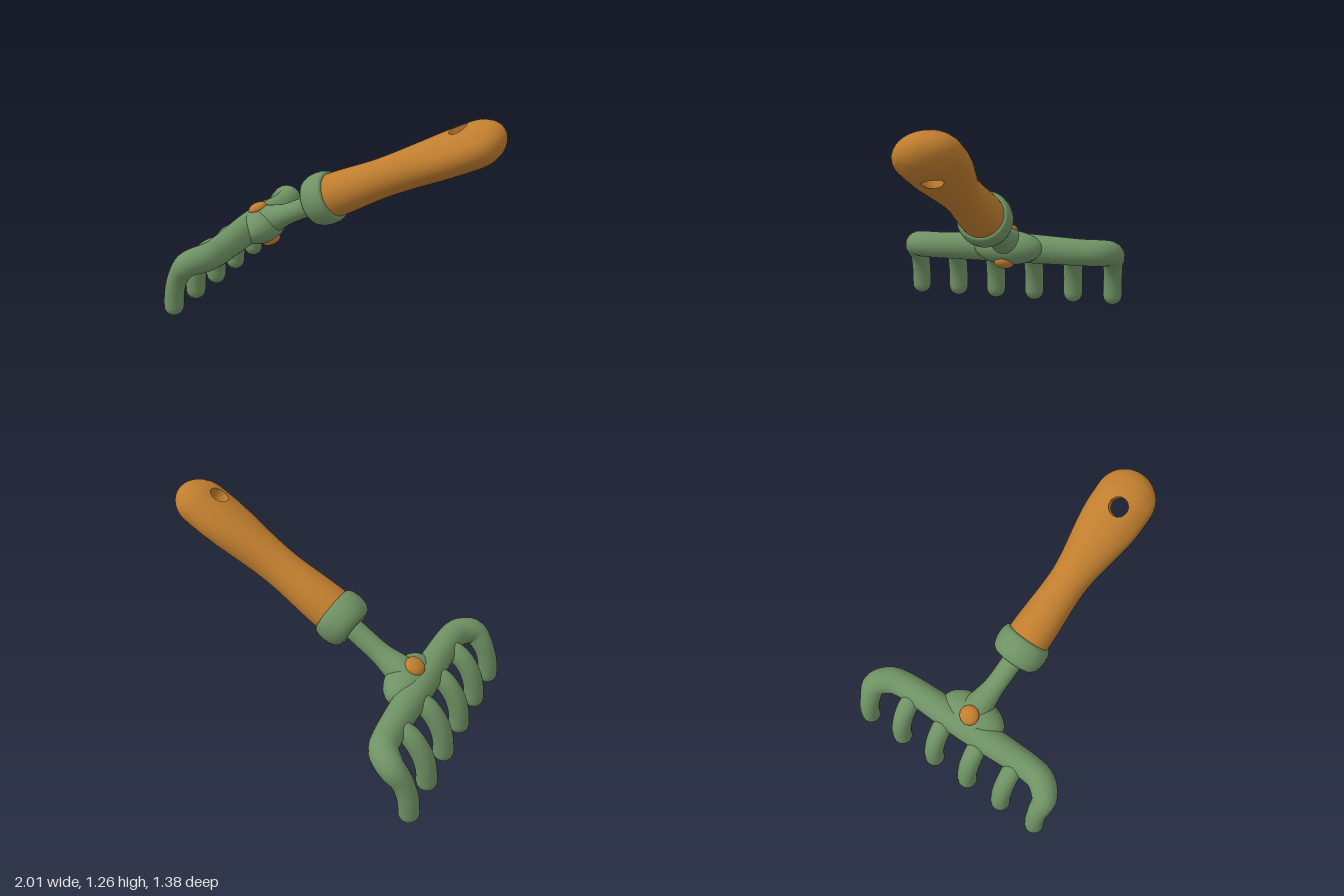
import * as THREE from 'three';

const V = (x, y, z) => new THREE.Vector3(x, y, z);
const green = new THREE.MeshStandardMaterial({ color: 0x6f9264 });
green.name = 'green metal';
const wood = new THREE.MeshStandardMaterial({ color: 0xbf7d2e });
wood.name = 'orange wood';

// Smooth surface over closed rings of points; skip(i, j) leaves a cell open
function skin(rings, skip = () => false) {
  const n = rings[0].length, idx = [];
  for (let i = 0; i < rings.length - 1; i++) for (let j = 0; j < n; j++) {
    if (skip(i, j)) continue;
    const k = (j + 1) % n, a = i * n + j, b = i * n + k;
    idx.push(a, b, a + n, b, b + n, a + n);
  }
  const g = new THREE.BufferGeometry().setFromPoints(rings.flat());
  g.setIndex(idx);
  g.computeVertexNormals();
  return g;
}

// Round bar along a path, radius by r(u), with domed ends
function rod(points, r, steps) {
  const curve = new THREE.CatmullRomCurve3(points, false, 'centripetal');
  const L = curve.getLength(), r0 = r(0), r1 = r(1), S = [];
  for (let k = 0; k < 7; k++) S.push([r0 * (1 - Math.cos(k * Math.PI / 12)), Math.sin(k * Math.PI / 12)]);
  for (let k = 1; k < steps; k++) S.push([r0 + (L - r0 - r1) * k / steps, 1]);
  for (let k = 6; k >= 0; k--) S.push([L - r1 * (1 - Math.cos(k * Math.PI / 12)), Math.sin(k * Math.PI / 12)]);
  let N = null;
  const rings = S.map(([s, f]) => {
    const u = s / L, p = curve.getPointAt(u), T = curve.getTangentAt(u);
    if (!N) N = Math.abs(T.y) > 0.9 ? V(1, 0, 0) : V(0, 1, 0);
    N = N.clone().addScaledVector(T, -N.dot(T)).normalize();
    const B = T.clone().cross(N), q = r(u) * f;
    return Array.from({ length: 20 }, (_, j) => {
      const a = j * Math.PI / 10;
      return p.clone().addScaledVector(N, q * Math.cos(a)).addScaledVector(B, q * Math.sin(a));
    });
  });
  return skin(rings);
}

function add(parent, name, geometry, material) {
  const m = new THREE.Mesh(geometry, material);
  m.name = name;
  parent.add(m);
  return m;
}

// Half sizes of the handle section at distance t along it
function section(t) {
  const keys = [[0.07, 0.13, 0.13], [0.45, 0.112, 0.113], [0.95, 0.121, 0.175]];
  const [a, b] = t < 0.45 ? [keys[0], keys[1]] : [keys[1], keys[2]];
  const s = THREE.MathUtils.smoothstep(t, a[0], b[0]);
  const cap = t > 1.03 ? Math.sqrt(Math.max(0, 1 - ((t - 1.03) / 0.17) ** 2)) : 1;
  return { thin: (a[1] + (b[1] - a[1]) * s) * cap, wide: (a[2] + (b[2] - a[2]) * s) * cap };
}

function handle(parent) {
  const n = 48, holeT = 0.98, holeR = 0.055, inner = 3, outer = 8, ts = [];
  for (let k = 0; k <= 53; k++) ts.push(0.08 + k * 0.02);
  ts.push(1.158, 1.173, 1.185, 1.193, 1.198, 1.2);
  const height = (t, v) => {
    const { thin, wide } = section(t);
    return thin * Math.sqrt(Math.max(0, 1 - (v / wide) ** 2));
  };
  // Signed steps from the hole centre, on the upper or lower face
  const offset = j => ((j + 12) % 24) - 12;
  const rings = ts.map((t0, i) => Array.from({ length: n }, (_, j) => {
    const a = j * 2 * Math.PI / n, { thin, wide } = section(t0);
    const v0 = wide * Math.sin(a), di = i - 45, dj = offset(j);
    const m = Math.max(Math.abs(di), Math.abs(dj));
    if (m >= outer || m < inner) return V(v0, t0, thin * Math.cos(a));
    // Grid lines near the hole bend into circles
    const len = Math.hypot(v0, t0 - holeT), w = (m - inner) / (outer - inner);
    const k = (holeR / len) * (1 - w) + w;
    const v = v0 * k, t = holeT + (t0 - holeT) * k;
    return V(v, t, Math.sign(Math.cos(a)) * height(t, v));
  }));
  const inHole = (i, j) => {
    const c = ((j + 0.5 + 12) % 24) - 12;
    return Math.abs(i + 0.5 - 45) < inner && Math.abs(c) < inner;
  };
  add(parent, 'handle', skin(rings, inHole), wood);
  const wall = [1, -1].map(s => Array.from({ length: 48 }, (_, j) => {
    const a = j * Math.PI / 24, v = holeR * Math.cos(a), t = holeT + holeR * Math.sin(a);
    return V(v, t, s * height(t, v));
  }));
  add(parent, 'hangingHole', skin(wall), wood);
}

export function createModel() {
  const root = new THREE.Group();
  root.name = 'handRake';

  // Handle axis frame: Y along the handle, Z out of its flat face
  const d = V(1, 0.552, -0.387).normalize();
  const up = V(0, 1, 0).addScaledVector(d, -d.y).normalize();
  const frame = (name, pos, roll) => {
    const g = new THREE.Group(), z = up.clone().applyAxisAngle(d, roll);
    g.name = name;
    g.setRotationFromMatrix(new THREE.Matrix4().makeBasis(d.clone().cross(z), d, z));
    g.position.copy(pos);
    root.add(g);
    return g;
  };

  // Handle and collar
  const grip = frame('grip', V(-0.02, 0.655, -0.188), 0.2);
  handle(grip);
  const collar = [[0, -0.09], [0.1, -0.09], [0.125, -0.083], [0.145, -0.065], [0.157, -0.03], [0.16, 0.01],
    [0.157, 0.045], [0.148, 0.07], [0.137, 0.08], [0, 0.08]].map(p => new THREE.Vector2(...p));
  add(grip, 'collar', new THREE.LatheGeometry(collar, 40), green);

  // Crossbar running into the two end tines
  const A = V(-0.22, 0, 0.55), B = V(-0.77, 0, -0.565);
  const along = A.clone().sub(B).normalize(), out = V(-along.z, 0, along.x);
  const at = (base, u, y, s = 0) => base.clone().addScaledVector(out, u).addScaledVector(along, s).setY(y);
  const tine = [[0.2, 0.004], [0.2, 0.07], [0.19, 0.17], [0.155, 0.27], [0.09, 0.35]];
  const mid = A.clone().lerp(B, 0.5);
  const path = [
    ...tine.map(([u, y]) => at(A, u, y)), at(A, 0.02, 0.372, -0.07), at(A, 0, 0.375, -0.15),
    at(mid, 0, 0.384),
    at(B, 0, 0.375, 0.15), at(B, 0.02, 0.372, 0.07), ...tine.map(([u, y]) => at(B, u, y)).reverse(),
  ];
  const barRadius = u => {
    const e = Math.min(u, 1 - u);
    return 0.059 + 0.023 * THREE.MathUtils.smoothstep(e, 0.1, 0.23) + 0.01 * THREE.MathUtils.smoothstep(e, 0.25, 0.5);
  };
  add(root, 'crossbar', rod(path, barRadius, 90), green);

  // Inner tines
  for (let k = 1; k < 5; k++) {
    const base = A.clone().lerp(B, k / 5);
    const pts = [...tine.map(([u, y]) => at(base, u, y)), at(base, 0, 0.38)];
    add(root, 'tine' + k, rod(pts, () => 0.06, 24), green);
  }

  // Neck and hub
  const neck = [V(-0.52, 0.385, -0.02), V(-0.36, 0.455, -0.07), V(-0.2, 0.54, -0.122), V(-0.04, 0.64, -0.18)];
  add(root, 'neck', rod(neck, u => 0.062 + 0.035 * (1 - THREE.MathUtils.smoothstep(u, 0.15, 0.6)), 24), green);
  const hub = add(root, 'hub', new THREE.SphereGeometry(1, 36, 24), green);
  hub.position.set(-0.43, 0.4, -0.045);
  hub.scale.set(0.125, 0.105, 0.21);
  hub.rotation.y = Math.atan2(along.x, along.z);

  // Rivet heads above and below the hub
  const rivets = frame('rivets', V(-0.415, 0.41, -0.04), 0);
  for (const s of [1, -1]) {
    const r = add(rivets, s > 0 ? 'upperRivet' : 'lowerRivet', new THREE.SphereGeometry(1, 28, 18), wood);
    r.scale.set(0.06, 0.06, 0.036);
    r.position.z = s * 0.104;
  }
  return root;
}
